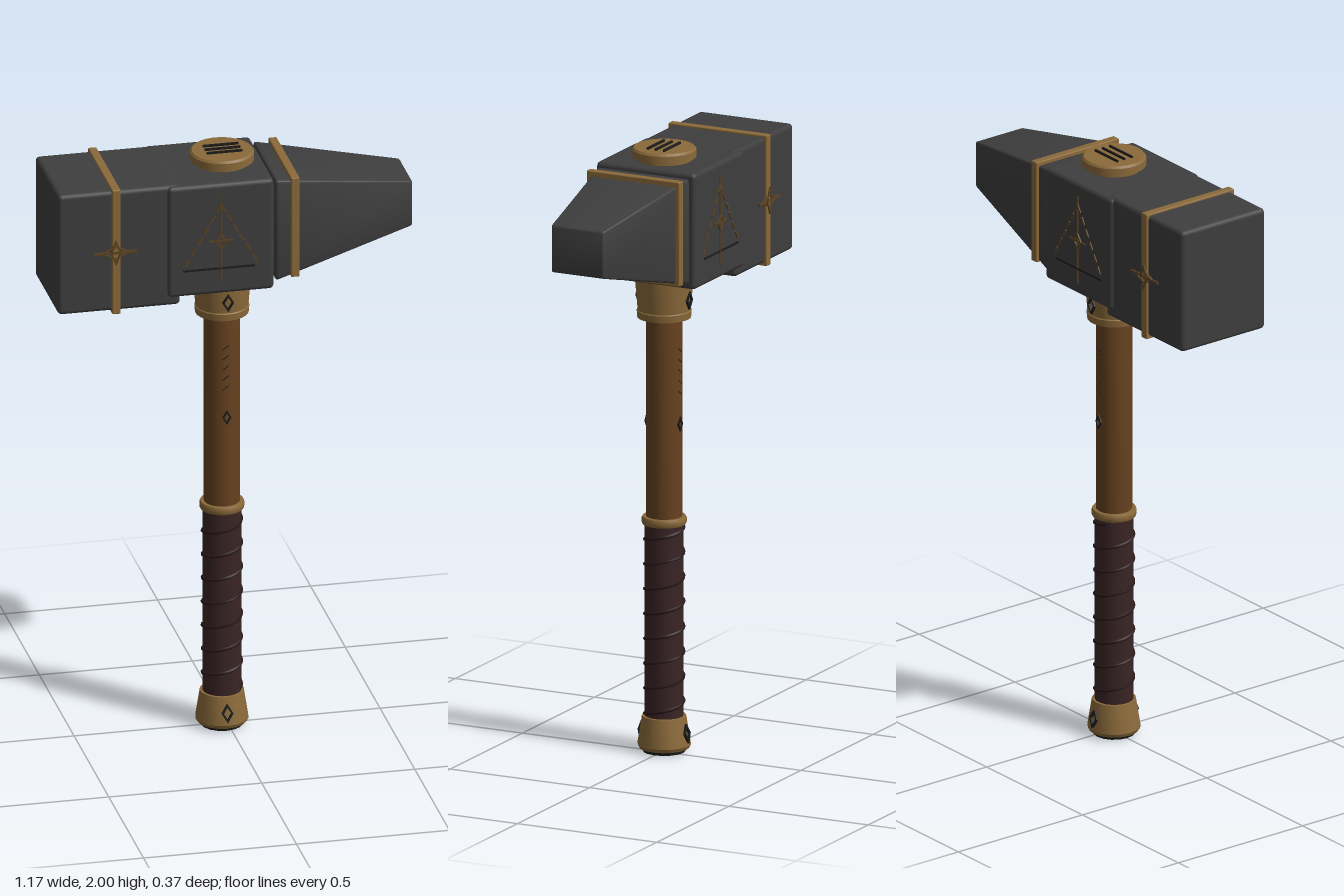
import * as THREE from 'three';
import { toCreasedNormals } from 'three/addons/utils/BufferGeometryUtils.js';
import { RoundedBoxGeometry } from 'three/addons/geometries/RoundedBoxGeometry.js';

const material = (name, color) => {
  const m = new THREE.MeshStandardMaterial({ color });
  m.name = name;
  return m;
};

export function createModel() {
  const iron = material('dark iron', 0x3e3e3e);
  const bronze = material('bronze', 0x8b6a3a);
  const engraving = material('aged bronze', 0x5a4323);
  const wood = material('wood', 0x66411f);
  const leather = material('leather', 0x3a2425);
  const cord = material('dark cord', 0x2a1819);
  const black = material('black inlay', 0x1c1c1c);

  const model = new THREE.Group();
  model.name = 'warHammer';
  const AXIS = -0.017; // x of the shaft

  const add = (name, geometry, mat, x = 0, y = 0, z = 0, parent = model) => {
    const mesh = new THREE.Mesh(geometry, mat);
    mesh.name = name;
    mesh.position.set(x, y, z);
    parent.add(mesh);
    return mesh;
  };
  // Block given by its limits in x and y and its half depth
  const block = (name, x0, x1, y0, y1, hz, r, mat) =>
    add(name, new RoundedBoxGeometry(x1 - x0, y1 - y0, hz * 2, 2, r), mat, (x0 + x1) / 2, (y0 + y1) / 2);
  // Turned part around the shaft, points from bottom to top
  const turned = (name, points, mat, sides = 28) => {
    const g = new THREE.LatheGeometry(points.map(([r, y]) => new THREE.Vector2(r, y)), sides);
    return add(name, toCreasedNormals(g, 0.55), mat, AXIS);
  };

  // Head: striking block, middle block and tapering peen
  block('strikingBlock', -0.59, -0.19, 1.54, 1.955, 0.168, 0.014, iron);
  block('middleBlock', -0.233, 0.114, 1.57, 1.952, 0.178, 0.014, iron);
  add('peenNeck', new THREE.BoxGeometry(0.06, 0.3, 0.28), iron, 0.12, 1.765, 0);

  const L = 0.463;
  const taper = new RoundedBoxGeometry(L, 0.35, 0.33, 2, 0.01);
  const p = taper.attributes.position;
  for (let i = 0; i < p.count; i++) {
    const t = p.getX(i) / L + 0.5;
    p.setY(i, p.getY(i) * (1 - 0.56 * t) + 0.022 * t);
    p.setZ(i, p.getZ(i) * (1 - 0.43 * t));
  }
  taper.computeVertexNormals();
  add('peen', toCreasedNormals(taper, 0.5), iron, 0.122 + L / 2, 1.765, 0);

  // Bronze bands around the head
  block('strikingBand', -0.415, -0.387, 1.531, 1.962, 0.177, 0.004, bronze);
  block('peenBand', 0.172, 0.2, 1.6, 1.945, 0.167, 0.004, bronze);

  // Cap on top with three inlaid bars
  turned('topCap', [[0, 1.94], [0.09, 1.94], [0.09, 1.962], [0.103, 1.962], [0.103, 1.986],
    [0.097, 1.993], [0, 1.993]], bronze, 36);
  for (const z of [-0.029, 0, 0.029])
    add('capBar', new THREE.BoxGeometry(0.116, 0.008, 0.006), black, AXIS + 0.002, 1.996, z);

  // Shaft, from collar down to pommel
  turned('collar', [[0, 1.432], [0.086, 1.432], [0.088, 1.455], [0.085, 1.458], [0.095, 1.575], [0, 1.575]], bronze);
  turned('shaft', [[0.058, 0.74], [0.058, 1.45]], wood);
  turned('gripRing', [[0.058, 0.75], [0.069, 0.75], [0.072, 0.756], [0.072, 0.77], [0.069, 0.776], [0.05, 0.776]], bronze);
  turned('grip', [[0.062, 0.1], [0.062, 0.755]], leather);
  turned('pommel', [[0, 0.012], [0.08, 0.012], [0.086, 0.024], [0.071, 0.118], [0, 0.12]], bronze, 16);
  turned('pommelBase', [[0, 0], [0.068, 0], [0.072, 0.014], [0, 0.014]], black, 16);

  // Cord wound around the grip
  const helix = [];
  const TURNS = 7.5;
  for (let i = 0; i <= 120; i++) {
    const a = (i / 120) * TURNS * Math.PI * 2 + 0.5;
    helix.push(new THREE.Vector3(Math.sin(a) * 0.062, 0.125 + 0.615 * i / 120, Math.cos(a) * 0.062));
  }
  add('gripCord', new THREE.TubeGeometry(new THREE.CatmullRomCurve3(helix), 240, 0.006, 6), cord, AXIS);

  // Diamond outline plate
  const diamondPath = (Kind, w, h) => {
    const s = new Kind();
    s.moveTo(0, -h); s.lineTo(w, 0); s.lineTo(0, h); s.lineTo(-w, 0); s.closePath();
    return s;
  };
  const diamond = (w, h, line) => {
    const s = diamondPath(THREE.Shape, w, h);
    s.holes.push(diamondPath(THREE.Path, w - line, h - line * h / w));
    const g = new THREE.ExtrudeGeometry(s, { depth: 0.008, bevelEnabled: false });
    return g.translate(0, 0, -0.004);
  };
  // Thin straight stroke between two points
  const stroke = (name, x0, y0, x1, y1, z, w, mat) => {
    const g = new THREE.BoxGeometry(Math.hypot(x1 - x0, y1 - y0), w, 0.006);
    const mesh = add(name, g, mat, (x0 + x1) / 2, (y0 + y1) / 2, z);
    mesh.rotation.z = Math.atan2(y1 - y0, x1 - x0);
  };

  // Ornaments on front and back
  for (const side of [1, -1]) {
    const zMid = side * 0.179, zBand = side * 0.177;
    const cx = -0.06, cy = 1.755;

    // Triangle of short dashes with a long vertical stroke
    for (const dir of [-1, 1]) {
      for (let i = 0; i < 6; i++) {
        const t0 = i / 6, t1 = (i + 0.65) / 6;
        stroke('triangleDash', cx + dir * 0.125 * t0, 1.88 - 0.215 * t0,
          cx + dir * 0.125 * t1, 1.88 - 0.215 * t1, zMid, 0.007, engraving);
      }
    }
    stroke('triangleBase', cx - 0.125, 1.66, cx + 0.11, 1.66, zMid, 0.006, black);
    stroke('verticalStroke', cx, 1.61, cx, 1.91, zMid, 0.006, engraving);
    stroke('crossStroke', cx - 0.04, cy, cx + 0.04, cy, zMid, 0.005, engraving);
    add('triangleDiamond', diamond(0.02, 0.03, 0.006), engraving, cx, cy, zMid);

    // Star on the striking band
    stroke('starBar', -0.475, 1.745, -0.335, 1.745, zBand, 0.008, engraving);
    add('starDiamond', diamond(0.05, 0.022, 0.009), engraving, -0.403, 1.745, zBand);
    add('starPoint', diamond(0.018, 0.045, 0.006), engraving, -0.403, 1.745, zBand);

    // Diamonds on collar, shaft and pommel
    add('collarDiamond', diamond(0.019, 0.031, 0.007), black, AXIS, 1.497, side * 0.09);
    add('shaftDiamond', diamond(0.015, 0.025, 0.006), black, AXIS + 0.003, 1.085, side * 0.058);
    add('pommelDiamond', diamond(0.019, 0.032, 0.007), black, AXIS, 0.066, side * 0.082).rotation.x = side * -0.16;

    // Short cuts along the shaft
    for (let i = 0; i < 5; i++)
      stroke('shaftCut', AXIS - 0.01, 1.18 + i * 0.035, AXIS + 0.01, 1.195 + i * 0.035, side * 0.0555, 0.003, cord);
  }
  return model;
}
